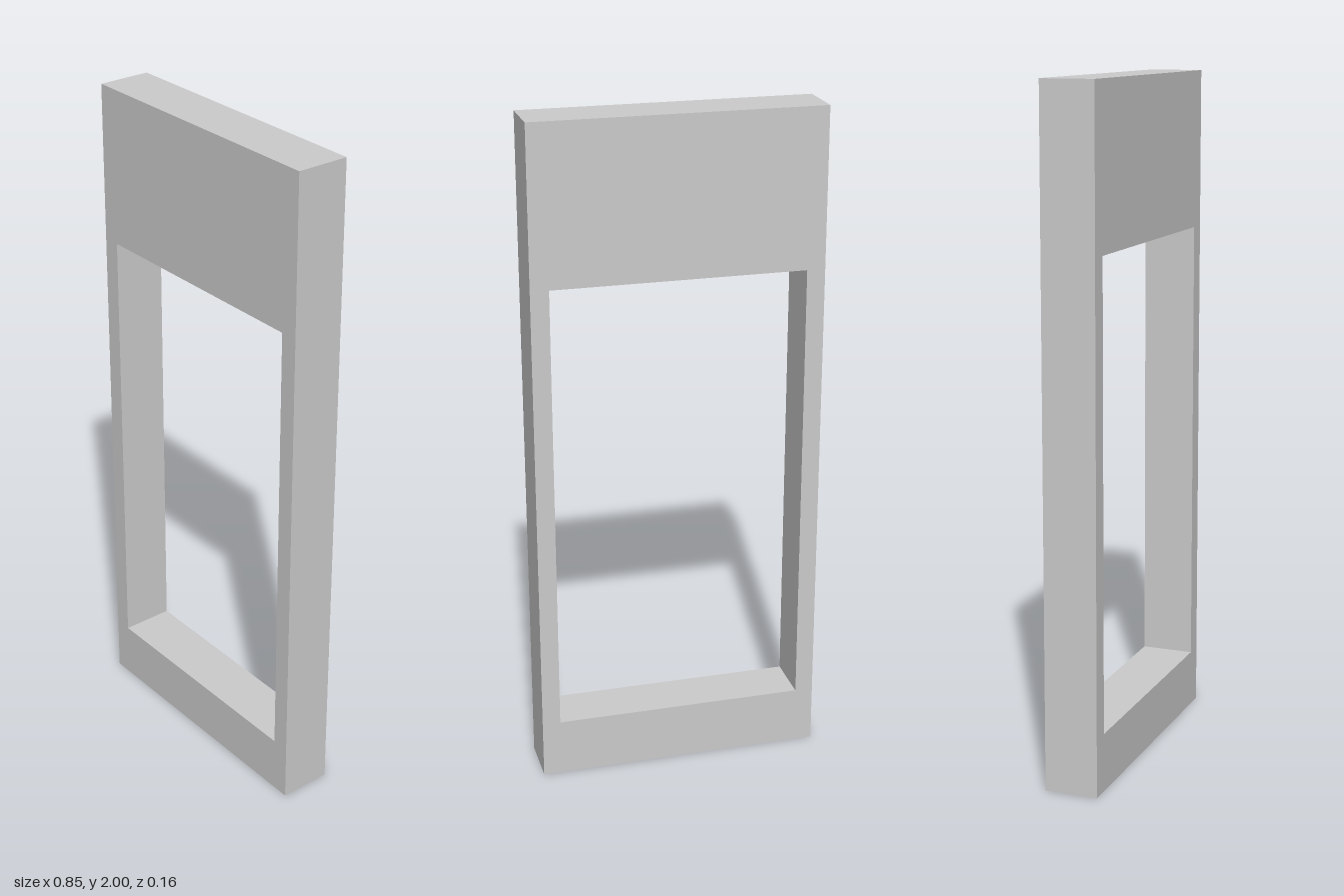
import * as THREE from 'three';

const W = 0.854, H = 2, D = 0.158;                       // overall panel size
const OPEN_W = 0.746, OPEN_BOTTOM = 0.173, OPEN_TOP = 1.532; // window opening

export function createModel() {
  const group = new THREE.Group();
  group.name = 'windowFrame';

  // Front outline of the panel
  const outline = new THREE.Shape([
    new THREE.Vector2(-W / 2, 0),
    new THREE.Vector2(W / 2, 0),
    new THREE.Vector2(W / 2, H),
    new THREE.Vector2(-W / 2, H),
  ]);

  // Rectangular opening, wound the other way
  outline.holes.push(new THREE.Path([
    new THREE.Vector2(-OPEN_W / 2, OPEN_BOTTOM),
    new THREE.Vector2(-OPEN_W / 2, OPEN_TOP),
    new THREE.Vector2(OPEN_W / 2, OPEN_TOP),
    new THREE.Vector2(OPEN_W / 2, OPEN_BOTTOM),
  ]));

  // Solid frame, centred in depth
  const geometry = new THREE.ExtrudeGeometry(outline, { depth: D, bevelEnabled: false });
  geometry.translate(0, 0, -D / 2);

  const frame = new THREE.Mesh(
    geometry,
    new THREE.MeshStandardMaterial({ color: 0xcccccc, flatShading: true }),
  );
  frame.name = 'framePanel';
  group.add(frame);
  return group;
}
